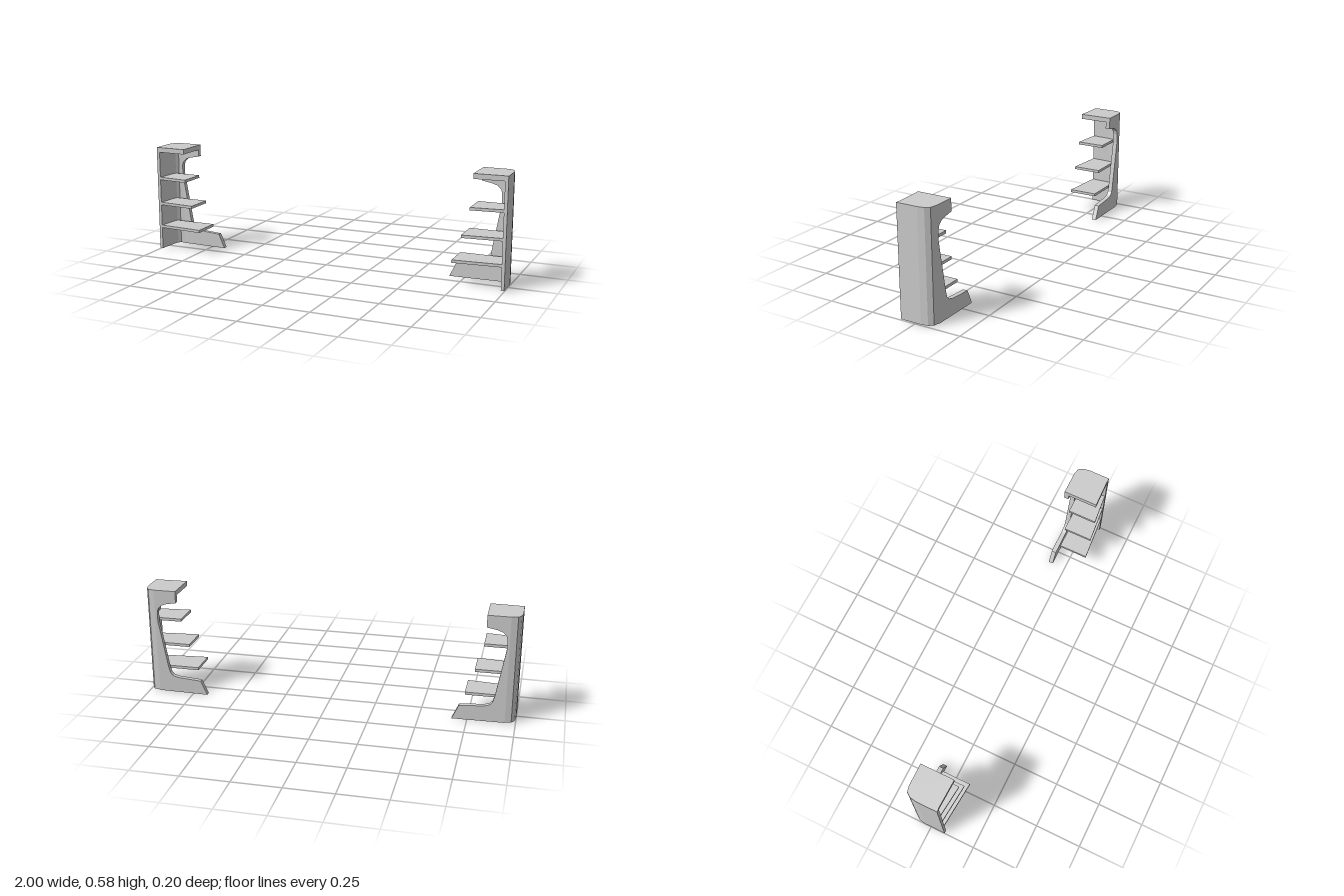
import * as THREE from 'three';

const material = new THREE.MeshStandardMaterial({ color: 0xcccccc, flatShading: true });

// Extrudes an outline; s = 1 or -1 mirrors it in x.
function slab(name, points, depth, s) {
  const shape = new THREE.Shape(points.map(([x, y]) => new THREE.Vector2(s * x, y)));
  const geometry = new THREE.ExtrudeGeometry(shape, { depth, bevelEnabled: false });
  const mesh = new THREE.Mesh(geometry, material);
  mesh.name = name;
  return mesh;
}

// Horizontal plate from an outline of [x, z] points, between two heights.
function plan(name, points, y0, y1, s) {
  const mesh = slab(name, points.map(([x, z]) => [x, -z]), y1 - y0, s);
  mesh.geometry.rotateX(-Math.PI / 2);
  mesh.geometry.translate(0, y0, 0);
  return mesh;
}

// Rounded outer corner, from the side to the back
const corner = [[1, -0.035], [0.994, -0.07], [0.978, -0.093], [0.945, -0.1]];

function endPlate(name, s) {
  const group = new THREE.Group();
  group.name = name;

  // Side wall with its curved rear corner
  group.add(plan('sideWall', [
    [1, 0.08], ...corner, [0.932, -0.1], [0.932, -0.075],
    [0.955, -0.073], [0.968, -0.06], [0.974, -0.03], [0.983, 0.08],
  ], 0.005, 0.585, s));

  // Back panel: hook at the top, tapering post, foot at the bottom
  const back = slab('backPanel', [
    [0.945, 0.003], [0.67, 0], [0.705, 0.078], [0.835, 0.088], [0.862, 0.096],
    [0.877, 0.113], [0.885, 0.14], [0.934, 0.42], [0.934, 0.455], [0.926, 0.482],
    [0.908, 0.5], [0.88, 0.51], [0.825, 0.52], [0.825, 0.58], [0.945, 0.58],
  ], 0.025, s);
  back.geometry.translate(0, 0, -0.1);
  group.add(back);

  // Top plate
  group.add(plan('topPlate', [
    [1, 0.078], ...corner, [0.825, -0.1], [0.825, 0.084],
  ], 0.558, 0.585, s));

  // Horizontal blades, longer towards the bottom: [inner x, height, front z]
  [[0.815, 0.401, 0.095], [0.775, 0.257, 0.097], [0.73, 0.124, 0.099]].forEach(([x, y, z], i) => {
    group.add(plan(`blade${i + 1}`, [
      [0.985, 0.078], [0.985, -0.06], [x, -0.06], [x, z],
    ], y, y + 0.015, s));
  });
  return group;
}

export function createModel() {
  const model = new THREE.Group();
  model.name = 'endPlatePair';
  model.add(endPlate('leftEndPlate', 1), endPlate('rightEndPlate', -1));
  return model;
}
